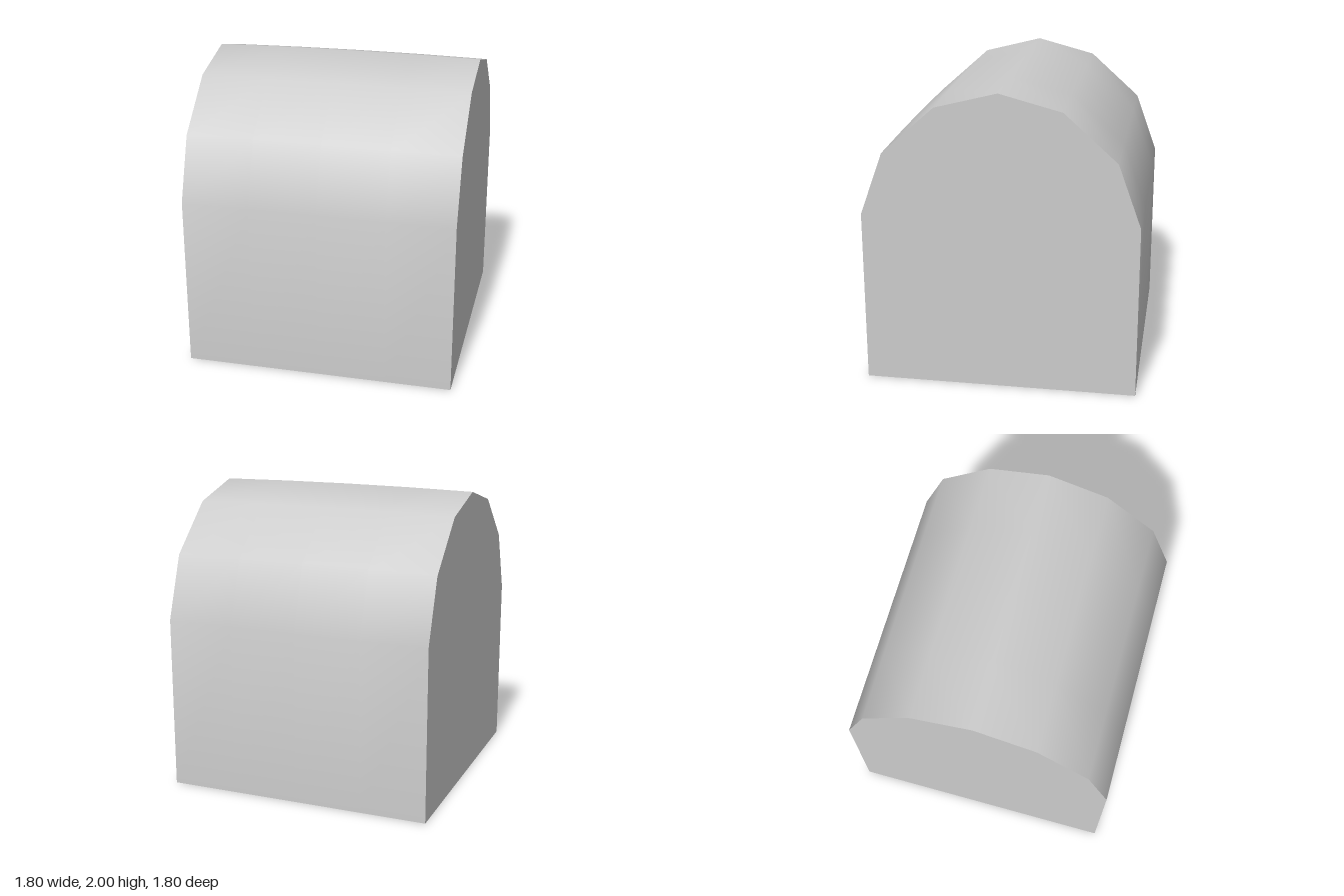
import * as THREE from 'three';
import { toCreasedNormals } from 'three/addons/utils/BufferGeometryUtils.js';

const HALF = 0.9;      // outer half width
const INNER = 0.815;   // half width of the cavity
const CEILING = 1.08;  // height of the cavity
const CREASE = 0.65;

export function createModel() {
  const model = new THREE.Group();
  const material = new THREE.MeshStandardMaterial({ color: 0xcccccc });

  function add(name, geometry, x = 0, y = 0, z = 0) {
    const mesh = new THREE.Mesh(geometry, material);
    mesh.name = name;
    mesh.position.set(x, y, z);
    model.add(mesh);
    return mesh;
  }

  // Arched shell: profile with the cavity cut from below, run along x
  const arch = [[HALF, 0], [HALF, 1.16], [0.75, 1.585], [0.405, 1.895], [0, 2]];
  const outline = [
    ...arch,
    ...arch.slice(0, -1).reverse().map(([z, y]) => [-z, y]),
    [-INNER, 0], [-INNER, CEILING], [INNER, CEILING], [INNER, 0],
  ];
  const profile = new THREE.Shape(outline.map(([z, y]) => new THREE.Vector2(z, y)));
  const shell = new THREE.ExtrudeGeometry(profile, { depth: 2 * HALF, steps: 4, bevelEnabled: false });
  shell.translate(0, 0, -HALF).rotateY(Math.PI / 2);

  // Slight crown: the roof drops a little towards both ends
  const pos = shell.attributes.position;
  for (let i = 0; i < pos.count; i++) {
    const y = pos.getY(i);
    if (y > 1.2) pos.setY(i, y - 0.01 * (pos.getX(i) / HALF) ** 2);
  }
  add('archedShell', toCreasedNormals(shell, CREASE));

  // End walls closing the cavity
  const wall = HALF - INNER;
  const endWall = new THREE.BoxGeometry(wall, CEILING, 2 * INNER);
  for (const s of [-1, 1]) {
    add(s > 0 ? 'leftEndWall' : 'rightEndWall', endWall, s * (HALF - wall / 2), CEILING / 2, 0);
  }

  // Central tube hanging from the ceiling
  const ring = [[0.315, CEILING], [0.315, 0.09], [0.385, 0.09], [0.385, CEILING]];
  const tube = new THREE.LatheGeometry(ring.map(([r, y]) => new THREE.Vector2(r, y)), 12);
  add('centralTube', toCreasedNormals(tube, CREASE)).material = new THREE.MeshStandardMaterial({
    color: 0xcccccc, side: THREE.DoubleSide,
  });

  // Two clamping ribs on each inner wall
  const depth = 0.065;
  const rib = new THREE.BoxGeometry(0.08, CEILING, depth);
  for (let side = 0; side < 4; side++) {
    const group = new THREE.Group();
    group.name = 'wallRibs';
    group.rotation.y = side * Math.PI / 2;
    for (const x of [-0.45, 0.45]) {
      const mesh = new THREE.Mesh(rib, material);
      mesh.name = 'rib';
      mesh.position.set(x, CEILING / 2 + 0.005, INNER - depth / 2);
      group.add(mesh);
    }
    model.add(group);
  }
  return model;
}
